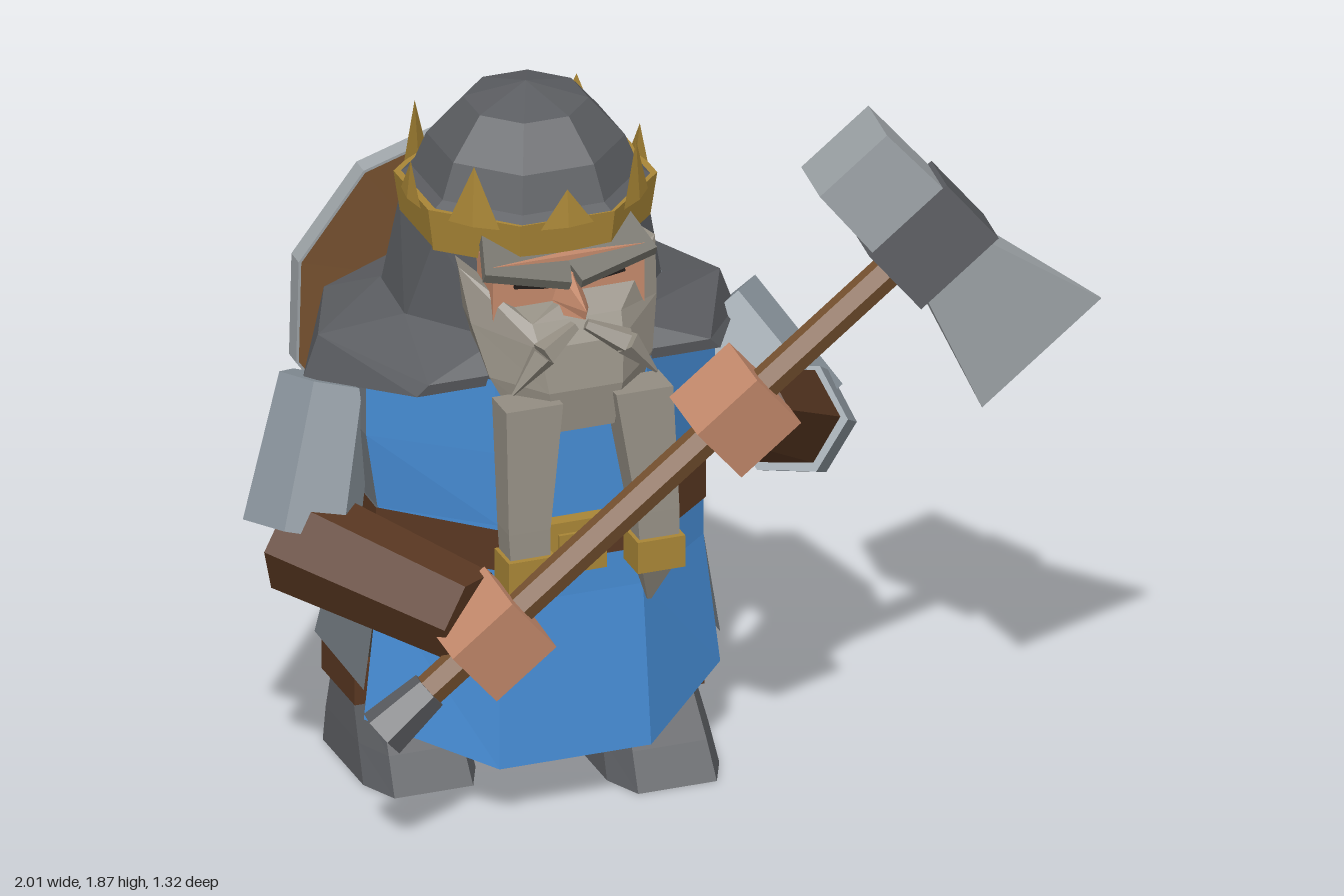
import * as THREE from 'three';

const C = {
  blue: 0x468cd4, mail: 0x747b82, dark: 0x5b5d61, steel: 0x8b959d, pale: 0xa0a6aa, leather: 0x5a3822,
  wood: 0x7a5431, gold: 0xa98636, skin: 0xc58a6c, beard: 0x938d82, brow: 0x74726a, black: 0x221c1a, trousers: 0x40382f,
};

const mats = {};
const mat = (color) => (mats[color] ??= new THREE.MeshStandardMaterial({ color, flatShading: true, side: THREE.DoubleSide }));

function add(parent, name, geo, color, pos = [0, 0, 0], rot = [0, 0, 0]) {
  const m = new THREE.Mesh(geo, mat(color));
  m.name = name;
  m.position.set(...pos);
  m.rotation.set(...rot);
  parent.add(m);
  return m;
}

// Skin over rings of [x, y, z] corners, listed from bottom to top; sides picks which faces to keep
function loft(rings, { sides = null, cap = true } = {}) {
  const v = [], n = rings[0].length;
  const list = sides ?? rings[0].map((_, i) => i);
  for (let r = 0; r < rings.length - 1; r++) {
    for (const j of list) {
      const k = (j + 1) % n, a = rings[r], b = rings[r + 1];
      v.push(...a[j], ...a[k], ...b[j], ...a[k], ...b[k], ...b[j]);
    }
  }
  if (cap) {
    const lo = rings[0], hi = rings[rings.length - 1];
    for (let j = 1; j < n - 1; j++) v.push(...lo[0], ...lo[j + 1], ...lo[j], ...hi[0], ...hi[j], ...hi[j + 1]);
  }
  const g = new THREE.BufferGeometry();
  g.setAttribute('position', new THREE.Float32BufferAttribute(v, 3));
  g.computeVertexNormals();
  return g;
}

// Mirrored eight-corner ring, from four [x, z] corners running front to back; y is one height or four
function ring8(y, pts) {
  const h = (i) => (Array.isArray(y) ? y[i] : y);
  const left = pts.map(([x, z], i) => [x, h(i), z]);
  const right = pts.map(([x, z], i) => [-x, h(i), z]).reverse();
  return [right[3], ...left, ...right.slice(0, 3)];
}

// Tapered limb between two points
function limb(parent, name, p, q, r1, r2, color, n = 6) {
  const a = new THREE.Vector3(...p), b = new THREE.Vector3(...q), d = b.clone().sub(a);
  const m = add(parent, name, new THREE.CylinderGeometry(r2, r1, d.length(), n), color);
  m.position.copy(a).add(b).multiplyScalar(0.5);
  m.quaternion.setFromUnitVectors(new THREE.Vector3(0, 1, 0), d.normalize());
}

const lathe = (pts, n, start = 0) => new THREE.LatheGeometry(pts.map((p) => new THREE.Vector2(...p)), n, start);

// Box whose +x end is scaled in y and z
function taperBox(w, h, d, sy, sz) {
  const g = new THREE.BoxGeometry(w, h, d), p = g.attributes.position;
  for (let i = 0; i < p.count; i++) if (p.getX(i) > 0) p.setXYZ(i, p.getX(i), p.getY(i) * sy, p.getZ(i) * sz);
  return g;
}

function buildTorso(body) {
  const chest = [[0.2, 0.28], [0.46, 0.07], [0.46, -0.2], [0.2, -0.45]];
  const waist = [[0.19, 0.28], [0.43, 0.07], [0.43, -0.21], [0.19, -0.46]];
  const hem = [[0.2, 0.31], [0.47, 0.08], [0.47, -0.26], [0.2, -0.52]];
  const upper = [ring8(0.58, waist), ring8(0.8, waist), ring8(1.0, chest), ring8(1.2, chest)];
  add(body, 'tabard', loft([ring8([0.15, 0.23, 0.3, 0.3], hem), ...upper], { sides: [0, 1, 7], cap: false }), C.blue);
  add(body, 'mailTunic', loft([ring8([0.32, 0.31, 0.32, 0.33], hem), ...upper], { sides: [2, 3, 4, 5, 6], cap: false }), C.mail);
  const strap = waist.map(([x, z]) => [x * 1.012, (z + 0.09) * 1.012 - 0.09]);
  add(body, 'belt', loft([ring8([0.68, 0.68, 0.68, 0.69], strap), ring8([0.79, 0.8, 0.81, 0.82], strap)], { cap: false }), C.leather);
  add(body, 'buckle', new THREE.BoxGeometry(0.16, 0.14, 0.04), C.gold, [0, 0.73, 0.3]);
  add(body, 'buckleInset', new THREE.BoxGeometry(0.1, 0.08, 0.02), C.gold, [0, 0.73, 0.32]);

  // Shoulder cape and hood
  const cape = [[0.4, 0.27], [0.57, -0.08], [0.45, -0.33], [0.17, -0.48]];
  const neck = [[0.16, 0.2], [0.34, 0.02], [0.32, -0.2], [0.15, -0.37]];
  const crownLine = [[0.12, 0.22], [0.28, 0.08], [0.28, -0.17], [0.12, -0.3]];
  add(body, 'shoulderCape', loft([
    ring8([1.18, 1.11, 1.09, 1.09], cape.map(([x, z]) => [x, z * 0.98])),
    ring8([1.21, 1.22, 1.22, 1.21], cape.map(([x, z]) => [x * 0.93, z])),
    ring8([1.27, 1.29, 1.29, 1.29], neck)], { cap: false }), C.dark);
  add(body, 'hood', loft([ring8(1.27, neck), ring8(1.52, crownLine)]), C.dark);
}

function buildHead(body) {
  add(body, 'face', new THREE.BoxGeometry(0.4, 0.17, 0.19), C.skin, [0, 1.415, 0.17]);
  add(body, 'nose', loft([
    [[-0.06, 1.35, 0.25], [0, 1.375, 0.38], [0.06, 1.35, 0.25]],
    [[-0.045, 1.385, 0.26], [0, 1.4, 0.39], [0.045, 1.385, 0.26]],
    [[-0.025, 1.46, 0.25], [0, 1.46, 0.29], [0.025, 1.46, 0.25]]]), C.skin);

  // Beard mass rising along the cheeks
  const row = (yf, ys, w, zf, zs) => [[-w * 0.45, yf, zf], [w * 0.45, yf, zf], [w, ys, zs],
    [w * 0.9, ys, 0.08], [-w * 0.9, ys, 0.08], [-w, ys, zs]];
  add(body, 'beard', loft([row(1.08, 1.12, 0.17, 0.38, 0.3), row(1.19, 1.21, 0.215, 0.385, 0.28),
    row(1.3, 1.34, 0.245, 0.355, 0.23), row(1.355, 1.475, 0.26, 0.32, 0.18)]), C.beard);

  for (const s of [-1, 1]) {
    add(body, 'eye', new THREE.BoxGeometry(0.09, 0.022, 0.02), C.black, [s * 0.1, 1.44, 0.264], [0, 0, s * 0.15]);
    add(body, 'eyebrow', new THREE.BoxGeometry(0.22, 0.03, 0.13), C.brow, [s * 0.105, 1.49, 0.24], [0.5, s * 0.25, s * 0.06]);
    limb(body, 'moustache', [s * 0.015, 1.345, 0.345], [s * 0.11, 1.295, 0.375], 0.015, 0.035, C.beard, 5);
    limb(body, 'moustacheTip', [s * 0.11, 1.295, 0.375], [s * 0.19, 1.2, 0.375], 0.035, 0.004, C.beard, 5);
    // Braid with a gold clasp and pointed end
    const sq = (y, x, w, z, d) => [[x - w, y, z + d], [x + w, y, z + d], [x + w, y, z - d], [x - w, y, z - d]]
      .map(([px, py, pz]) => [px * s, py, pz]);
    const flip = (r) => (s < 0 ? r.reverse() : r);
    add(body, 'braid', loft([sq(0.59, 0.165, 0.005, 0.385, 0.005), sq(0.72, 0.17, 0.05, 0.41, 0.04),
      sq(0.85, 0.17, 0.055, 0.4, 0.04), sq(1.17, 0.145, 0.075, 0.36, 0.05)].map(flip)), C.beard);
    add(body, 'braidClasp', new THREE.BoxGeometry(0.125, 0.085, 0.1), C.gold, [s * 0.17, 0.74, 0.41]);
  }

  // Helmet and crown, with flats facing forward
  const turn = Math.PI / 8;
  add(body, 'helmet', lathe([[0.28, 1.5], [0.307, 1.595], [0.282, 1.61], [0.245, 1.7], [0.155, 1.8], [0, 1.845]], 8, turn), C.dark, [0, 0, -0.033]);
  const crown = new THREE.Group();
  crown.name = 'crown';
  crown.position.z = -0.035;
  crown.scale.z = 0.96;
  body.add(crown);
  add(crown, 'crownBand', lathe([[0.29, 1.49], [0.31, 1.48], [0.327, 1.595], [0.3, 1.595]], 8, turn), C.gold);
  for (let i = 0; i < 8; i++) {
    const h = i % 2 ? 0.16 : 0.1;
    const point = new THREE.ConeGeometry(0.07, h, 4).scale(1, 1, 0.15).translate(0, 1.575 + h / 2, 0.302).rotateY(i * Math.PI / 4);
    add(crown, 'crownPoint', point, C.gold);
  }
}

// Striding legs: the left one leads
function buildLegs(body) {
  for (const s of [-1, 1]) {
    const leg = new THREE.Group();
    leg.name = s > 0 ? 'leftLeg' : 'rightLeg';
    leg.position.set(s * 0.285, 0, s * 0.095);
    body.add(leg);
    const sole = (y, w, toe, heel) => [[-w * 0.7, y, toe], [w * 0.7, y, toe], [w, y, toe - 0.1],
      [w, y, heel], [-w, y, heel], [-w, y, toe - 0.1]];
    add(leg, 'boot', loft([sole(0, 0.148, 0.175, -0.205), sole(0.09, 0.14, 0.12, -0.205), sole(0.22, 0.125, 0.03, -0.195)]), C.dark);
    add(leg, 'bootCuff', new THREE.BoxGeometry(0.28, 0.11, 0.23), C.leather, [0, 0.235, -0.12]);
    limb(leg, 'trouserLeg', [0, 0.25, -0.11], [-s * 0.07, 0.62, -0.09 - s * 0.08], 0.12, 0.12, C.trousers);
  }
}

function buildShield(body) {
  const shield = new THREE.Group();
  shield.name = 'shield';
  shield.position.set(0, 1.09, -0.49);
  shield.rotation.x = -Math.PI / 2 + 0.06;
  body.add(shield);
  add(shield, 'shieldRim', lathe([[0.44, -0.02], [0.457, -0.02], [0.457, 0.03], [0.41, 0.035], [0.41, 0]], 10), C.pale);
  add(shield, 'shieldFace', lathe([[0.42, 0.015], [0, 0.05]], 10), C.blue);
  add(shield, 'shieldBack', lathe([[0.45, -0.021], [0, -0.005]], 10), C.wood);
  add(shield, 'shieldBoss', lathe([[0.14, 0.03], [0.12, 0.1], [0.06, 0.157], [0, 0.165]], 8), C.pale);
}

function buildArms(root) {
  limb(root, 'rightSleeve', [-0.76, 1.09, -0.09], [-0.865, 0.74, 0.0], 0.125, 0.15, C.steel);
  limb(root, 'rightForearm', [-0.88, 0.72, 0.0], [-0.58, 0.64, 0.43], 0.14, 0.12, C.leather);
  limb(root, 'leftSleeve', [0.25, 1.09, -0.1], [0.42, 0.85, 0.08], 0.15, 0.14, C.steel);
  limb(root, 'leftElbow', [0.43, 0.835, 0.05], [0.365, 0.895, 0.145], 0.145, 0.15, C.steel);
  limb(root, 'leftForearm', [0.41, 0.86, 0.08], [0.12, 1.11, 0.48], 0.135, 0.115, C.leather);
}

// Axe in its own frame: +y up the shaft, +x toward the blade; the hands share this frame
function buildAxe(root) {
  const axe = new THREE.Group();
  axe.name = 'axe';
  const y = new THREE.Vector3(1.43, 1.2, 0.11).normalize();
  const x = new THREE.Vector3(0.62, -0.77, 0.16);
  x.addScaledVector(y, -x.dot(y)).normalize();
  axe.quaternion.setFromRotationMatrix(new THREE.Matrix4().makeBasis(x, y, x.clone().cross(y)));
  axe.position.set(0.57, 1.545, 0.56);
  root.add(axe);
  add(axe, 'shaft', new THREE.CylinderGeometry(0.042, 0.042, 1.8, 6), C.wood, [0, -0.9, 0]);
  add(axe, 'pommel', new THREE.CylinderGeometry(0.05, 0.066, 0.16, 6), C.dark, [0, -1.745, 0]);
  add(axe, 'axeSocket', new THREE.BoxGeometry(0.2, 0.26, 0.175), C.dark);
  add(axe, 'hammer', taperBox(0.22, 0.225, 0.215, 1.05, 0.8), C.pale, [-0.205, 0, 0]);
  add(axe, 'axeBlade', taperBox(0.34, 0.21, 0.14, 1.9, 0.08), C.pale, [0.27, 0, 0]);
  add(axe, 'leftHand', new THREE.BoxGeometry(0.19, 0.2, 0.19), C.skin, [0, -0.64, 0], [0, 0.25, 0]);
  add(axe, 'rightHand', new THREE.BoxGeometry(0.19, 0.2, 0.19), C.skin, [0, -1.46, 0], [0, 0.25, 0]);
}

export function createModel() {
  const root = new THREE.Group();
  root.name = 'armouredWarrior';
  const body = new THREE.Group();
  body.name = 'body';
  body.position.x = -0.26;
  root.add(body);
  buildTorso(body);
  buildHead(body);
  buildLegs(body);
  buildShield(body);
  buildArms(root);
  buildAxe(root);
  return root;
}
